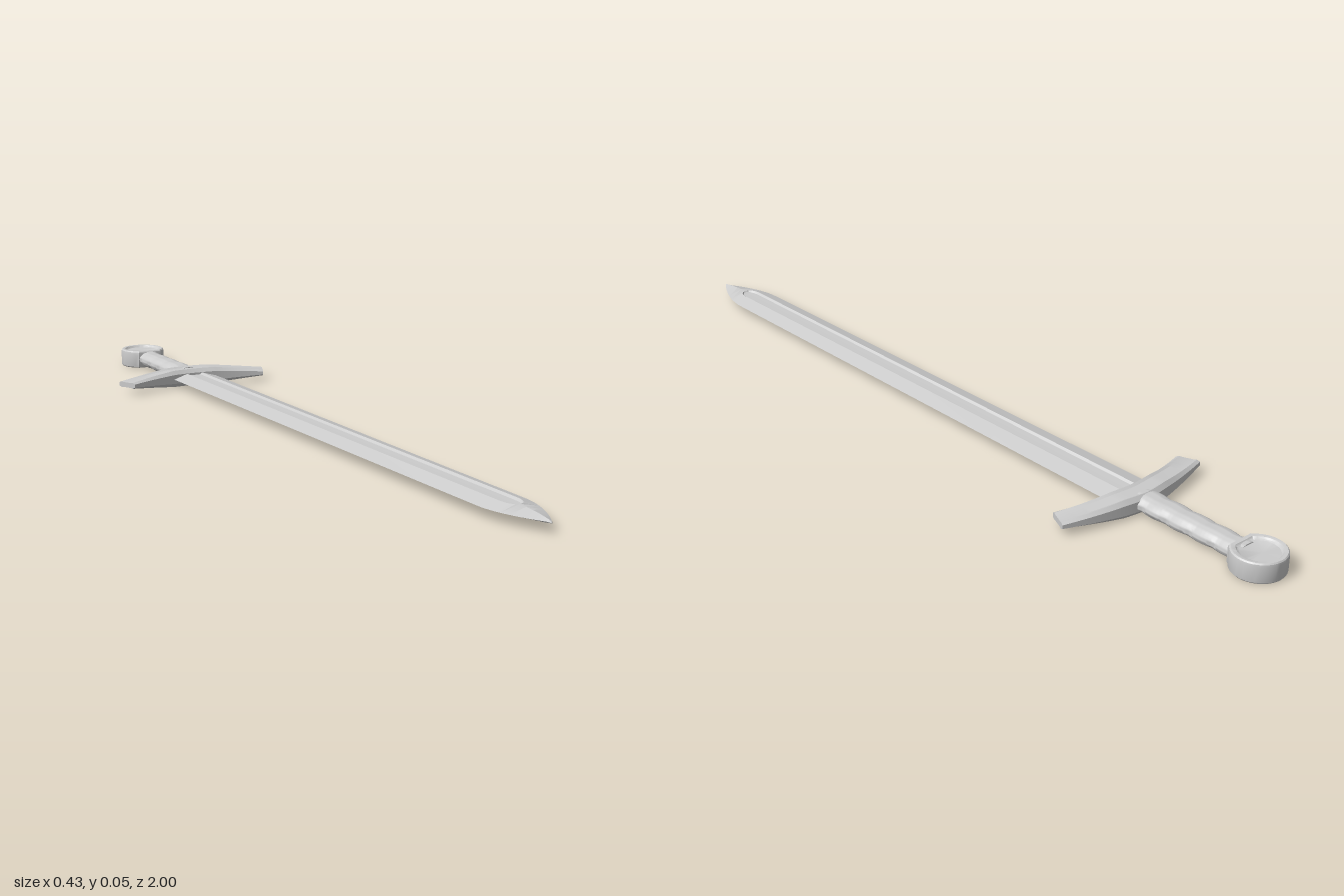
import * as THREE from 'three';
import { toCreasedNormals } from 'three/addons/utils/BufferGeometryUtils.js';

const MID = 0.024; // height of the sword's middle plane

// Skin a list of closed rings of [x, y, z] points and cap both ends.
function loft(name, rings, crease = 0.5) {
  const n = rings[0].length, pos = rings.flat(2), idx = [];
  for (let i = 0; i < rings.length - 1; i++) {
    for (let j = 0; j < n; j++) {
      const a = i * n + j, b = i * n + (j + 1) % n;
      idx.push(a, b, b + n, a, b + n, a + n);
    }
  }
  [0, rings.length - 1].forEach((r, end) => {
    const c = pos.length / 3;
    for (let k = 0; k < 3; k++) pos.push(rings[r].reduce((s, p) => s + p[k], 0) / n);
    for (let j = 0; j < n; j++) {
      const a = r * n + j, b = r * n + (j + 1) % n;
      if (end) idx.push(a, b, c); else idx.push(b, a, c);
    }
  });
  const geo = new THREE.BufferGeometry();
  geo.setAttribute('position', new THREE.Float32BufferAttribute(pos, 3));
  geo.setIndex(idx);
  const mesh = new THREE.Mesh(toCreasedNormals(geo, crease), new THREE.MeshStandardMaterial({ color: 0xcccccc }));
  mesh.name = name;
  return mesh;
}

// Blade: bevelled edges, fuller on both faces, rounded point
function makeBlade() {
  const zs = [-0.6, -0.2, 0.2, 0.6, 0.82, 0.85, 0.865, 0.88, 0.89, 0.897, 0.9, 0.92, 0.94, 0.96, 0.975, 0.99, 1];
  return loft('blade', zs.map((z) => {
    const tip = Math.max(0, (z - 0.84) / 0.16);
    const w = (0.0625 - 0.0055 * (z + 0.6) / 1.44) * (1 - Math.pow(tip, 1.8)) + 0.0005;
    const h = 0.0115 * (1 - 0.85 * Math.pow(tip, 3));
    const round = Math.sqrt(Math.max(0, 1 - Math.max(0, (z - 0.865) / 0.035) ** 2));
    const s = 0.0215 * round + 0.0006;
    const d = 0.0045 * Math.min(1, round * 1.5);
    const half = [[w, 0], [s, h], [s * 0.75, h - d], [0, h - d * 1.1], [-s * 0.75, h - d], [-s, h]];
    return [...half, ...half.map(([x, y]) => [-x, -y])].map(([x, y]) => [x, MID + y, z]);
  }), 0.25);
}

// Crossguard: swept toward the blade, thinning to the ends, with a channel along each face
function makeGuard() {
  const profile = [[1, 0.55], [0.72, 1], [0.5, 0.84], [-0.5, 0.84], [-0.72, 1], [-1, 0.55]];
  const section = [...profile, ...profile.map(([t, y]) => [-t, -y])];
  const rings = [];
  for (let i = 0; i <= 40; i++) {
    const x = -0.203 + 0.406 * i / 40, u = Math.abs(x) / 0.203;
    const zc = -0.611 + 0.042 * Math.pow(u, 1.6);
    const hw = 0.032 - 0.006 * u;
    const hy = 0.0225 - 0.0145 * Math.max(0, (u - 0.29) / 0.71);
    // reversed so that the ring runs from +y to +z
    rings.push(section.map(([t, y]) => [x * (1 - 0.055 * t * u), MID + y * hy, zc + t * hw]).reverse());
  }
  return loft('crossguard', rings, 0.35);
}

// Grip: flattened oval with spiral binding
function makeGrip() {
  const rings = [];
  for (let i = 0; i <= 60; i++) {
    const t = i / 60, ring = [];
    for (let j = 0; j < 32; j++) {
      const a = j / 32 * Math.PI * 2;
      const bulge = 0.92 + 0.1 * Math.abs(Math.sin(Math.PI * (4.5 * t + j / 32)));
      ring.push([
        (0.033 + 0.004 * t) * bulge * Math.cos(a),
        MID + 0.021 * bulge * Math.sin(a),
        -0.91 + 0.29 * t,
      ]);
    }
    rings.push(ring);
  }
  return loft('grip', rings, 0.9);
}

// Pommel: thick disc cut flat at the grip, with a sunken face on each side
function makePommel() {
  const outline = [];
  for (let j = 0; j <= 36; j++) {
    const a = THREE.MathUtils.lerp(0.62, Math.PI * 2 - 0.62, j / 36);
    outline.push([0.061 * Math.sin(a), 0.061 * Math.cos(a)]);
  }
  // neck corners meeting the grip
  outline.push([-0.034, 0.053]);
  outline.unshift([0.034, 0.053]);
  const steps = [[0.7, 0.018], [0.76, 0.02], [0.8, 0.0235], [0.94, 0.0238], [0.985, 0.021], [1, 0.016]];
  const levels = [...steps.map(([s, y]) => [s, -y]), ...steps.slice().reverse()];
  return loft('pommel', levels.map(([s, y]) =>
    outline.map(([x, z]) => [x * s, MID + y, -0.939 + (z + 0.008) * s - 0.008])), 0.5);
}

export function createModel() {
  const sword = new THREE.Group();
  sword.name = 'sword';
  const guard = makeGuard(), pommel = makePommel();
  sword.add(makeBlade(), guard, makeGrip(), pommel);
  // Make sure both skins face outward
  for (const mesh of [guard, pommel]) {
    const p = mesh.geometry.attributes.position;
    const [a, b, c] = [0, 1, 2].map(() => new THREE.Vector3());
    let volume = 0;
    for (let i = 0; i < p.count; i += 3) {
      a.fromBufferAttribute(p, i); b.fromBufferAttribute(p, i + 1); c.fromBufferAttribute(p, i + 2);
      volume += a.dot(b.cross(c));
    }
    if (volume < 0) {
      for (let i = 0; i < p.count; i += 3) {
        a.fromBufferAttribute(p, i + 1); b.fromBufferAttribute(p, i + 2);
        p.setXYZ(i + 1, b.x, b.y, b.z); p.setXYZ(i + 2, a.x, a.y, a.z);
      }
      mesh.geometry = toCreasedNormals(mesh.geometry, 0.5);
    }
  }
  return sword;
}
